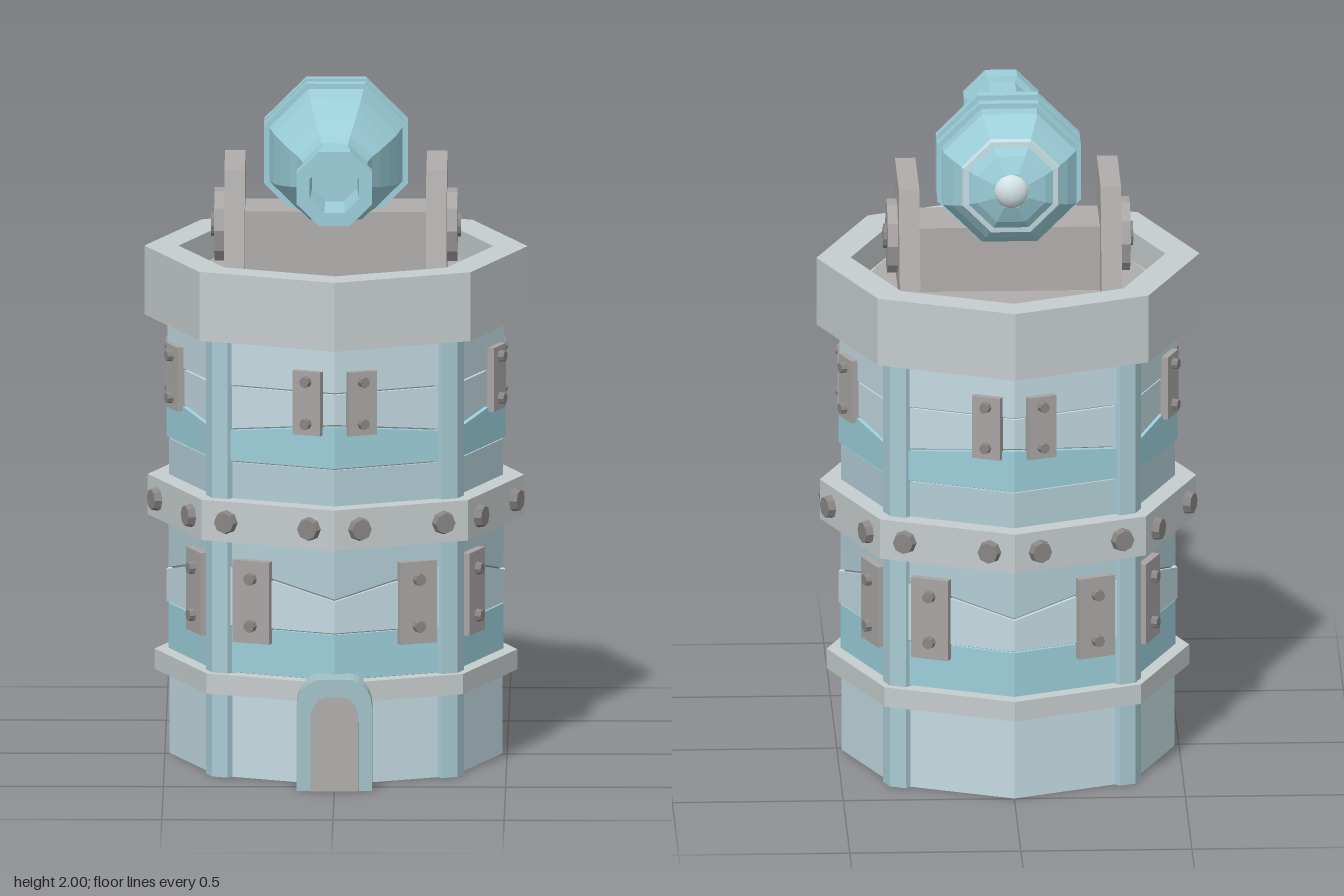
import * as THREE from 'three';

const CZ = -0.012; // tower axis
const C8 = Math.cos(Math.PI / 8);
const mat = (color, side = THREE.FrontSide) => new THREE.MeshStandardMaterial({ color, flatShading: true, side });
const PALE = mat(0xc3dbe1), MID = mat(0xb2ced5), CYAN = mat(0x9ccfda), TRIM = mat(0xc6cdce),
  STONE = mat(0xb0acac), METAL = mat(0xa9a5a5), DARK = mat(0x8a8686), FRAME = mat(0xa3c3c7), POST = mat(0xa9cbd4);

function add(parent, name, geo, material, x = 0, y = 0, z = 0) {
  const m = new THREE.Mesh(geo, material);
  m.name = name;
  m.position.set(x, y, z);
  parent.add(m);
  return m;
}

const lathe = (pts, sides, start = 0) =>
  new THREE.LatheGeometry(pts.map(p => new THREE.Vector2(...p)), sides, start);
const extrude = (shape, depth) =>
  new THREE.ExtrudeGeometry(shape, { depth, bevelEnabled: false, curveSegments: 6 });
const poly = pts => new THREE.Shape(pts.map(p => new THREE.Vector2(...p)));

// Octagonal band; lo and hi are [height at axis corners, height at diagonal corners]
function band(r, lo, hi) {
  const g = new THREE.CylinderGeometry(r, r, 1, 8, 1);
  const p = g.attributes.position;
  for (let i = 0; i < p.count; i++) {
    const x = Math.abs(p.getX(i)), z = Math.abs(p.getZ(i));
    const diag = Math.min(x, z) > 0.1 ? 1 : 0;
    p.setY(i, (p.getY(i) > 0 ? hi : lo)[diag]);
  }
  g.computeVertexNormals();
  return g;
}

// Bolt head facing +z
function bolt(parent, r, x, y, z) {
  const g = new THREE.CylinderGeometry(r * 0.85, r, 0.024, 8).rotateX(Math.PI / 2);
  add(parent, 'bolt', g, DARK, x, y, z);
}

function archShape(w, h, rise) {
  const s = new THREE.Shape();
  s.moveTo(-w, 0);
  s.lineTo(w, 0);
  s.lineTo(w, h - rise);
  s.bezierCurveTo(w, h - rise * 0.35, w * 0.6, h, w * 0.4, h);
  s.lineTo(-w * 0.4, h);
  s.bezierCurveTo(-w * 0.6, h, -w, h - rise * 0.35, -w, h - rise);
  return s;
}

function makeTower() {
  const tower = new THREE.Group();
  tower.name = 'tower';
  tower.position.z = CZ;

  // Base, core and the stacked wall planks
  add(tower, 'base', band(0.487, [0, 0], [0.25, 0.25]), PALE);
  add(tower, 'wallCore', band(0.478, [0.25, 0.25], [1.3, 1.3]), DARK);
  const levels = [[0.31, 0.31], [0.45, 0.45], [0.55, 0.64], [0.72, 0.72],
    [0.94, 0.94], [1.07, 1.03], [1.165, 1.165], [1.3, 1.3]];
  const looks = [[0.49, CYAN], [0.495, PALE], [0.49, MID], [0.488, MID], [0.495, CYAN], [0.489, PALE], [0.492, PALE]];
  looks.forEach(([r, m], i) => add(tower, 'wallBand',
    band(r, levels[i].map(y => y + 0.003), levels[i + 1].map(y => y - 0.003)), m));

  // Hoops
  add(tower, 'baseHoop', band(0.53, [0.25, 0.25], [0.31, 0.31]), TRIM);
  add(tower, 'middleHoop', band(0.55, [0.71, 0.71], [0.83, 0.83]), TRIM);

  // Parapet with sunken floor
  add(tower, 'parapet', lathe([[0, 1.305], [0.56, 1.305], [0.56, 1.51], [0.46, 1.51], [0.46, 1.42], [0, 1.42]], 8), TRIM);
  add(tower, 'floorDisc', new THREE.CylinderGeometry(0.41, 0.41, 0.02, 18), STONE, 0, 1.425);

  // Bent posts wrapping the diagonal corners
  const leg = 0.049, dx = leg * C8, dy = leg * Math.sin(Math.PI / 8), R = 0.507;
  // corner points along +y, arms falling away along both walls
  const post = extrude(poly([[0, R], [-dx, R - dy], [-dx, R - dy - 0.06], [dx, R - dy - 0.06], [dx, R - dy]]), 1.302);
  post.rotateX(-Math.PI / 2).rotateY(Math.PI);
  for (let i = 0; i < 4; i++) {
    add(tower, 'cornerPost', post, POST).rotation.y = Math.PI / 4 + i * Math.PI / 2;
  }

  // Plates and bolts on every wall
  for (let k = 0; k < 8; k++) {
    const face = new THREE.Group();
    face.name = 'wallFittings';
    face.rotation.y = (k + 0.5) * Math.PI / 4;
    tower.add(face);
    const side = k % 2 ? 1 : -1;
    const wall = 0.49 * C8;
    const upper = side * 0.107, lower = -side * 0.068;
    add(face, 'upperPlate', new THREE.BoxGeometry(0.088, 0.19, 0.04), METAL, upper, 1.135, wall + 0.002);
    add(face, 'lowerPlate', new THREE.BoxGeometry(0.115, 0.245, 0.04), METAL, lower, 0.53, wall + 0.004);
    for (const y of [1.075, 1.2]) bolt(face, 0.018, upper, y, wall + 0.028);
    for (const y of [0.46, 0.6]) bolt(face, 0.02, lower, y, wall + 0.03);
    for (const s of [-1, 1]) bolt(face, 0.036, s * 0.132, 0.77, 0.55 * C8 + 0.01);
  }
  return tower;
}

function makeDoor() {
  const door = new THREE.Group();
  door.name = 'door';
  add(door, 'doorFrame', extrude(archShape(0.11, 0.33, 0.08), 0.14), FRAME, 0, 0, 0.42);
  add(door, 'doorPanel', extrude(archShape(0.07, 0.28, 0.075), 0.03), STONE, 0, 0, 0.542);
  return door;
}

function makeMount() {
  const mount = new THREE.Group();
  mount.name = 'cannonMount';
  mount.position.z = CZ;
  add(mount, 'crossBlock', new THREE.BoxGeometry(0.54, 0.21, 0.2), STONE, 0, 1.525, -0.005);
  // Trapezoid cheeks with round hubs
  const cheek = extrude(poly([[-0.247, 1.42], [0.247, 1.42], [0.15, 1.765], [-0.15, 1.765]]), 0.06);
  cheek.translate(0, 0, -0.03).rotateY(Math.PI / 2);
  for (const s of [-1, 1]) {
    add(mount, 'cheek', cheek, STONE, s * 0.295, 0, 0);
    const disc = (r, w) => new THREE.CylinderGeometry(r, r, w, 10).rotateZ(Math.PI / 2);
    add(mount, 'hub', disc(0.108, 0.04), METAL, s * 0.335, 1.575, 0);
    add(mount, 'hubPin', disc(0.036, 0.04), DARK, s * 0.345, 1.575, 0);
  }
  return mount;
}

function makeCannon() {
  const cannon = new THREE.Group();
  cannon.name = 'cannon';
  cannon.position.y = 1.79;
  // Profiles are [flat-to-centre radius, z]
  const oct = (name, pts, m) => add(cannon, name,
    lathe(pts.map(([r, z]) => [r / C8, z]), 8, Math.PI / 8).rotateX(Math.PI / 2), m);
  oct('barrel', [[0, -0.275], [0.05, -0.272], [0.1, -0.25], [0.135, -0.222], [0.168, -0.185], [0.195, -0.14],
    [0.195, 0.02], [0.18, 0.1], [0.158, 0.17], [0.132, 0.24], [0.108, 0.29], [0.095, 0.34], [0.093, 0.48],
    [0.11, 0.485], [0.11, 0.548], [0.072, 0.548], [0.066, 0.4], [0, 0.4]], CYAN);
  for (const z of [-0.07, 0.01]) {
    oct('barrelBand', [[0.19, z - 0.016], [0.21, z - 0.016], [0.21, z + 0.016], [0.19, z + 0.016]], CYAN);
  }
  oct('breechRing', [[0.12, -0.232], [0.138, -0.23], [0.144, -0.218], [0.138, -0.208], [0.12, -0.206]], PALE);
  // Rounded knob behind the breech
  const knob = add(cannon, 'breechKnob', new THREE.SphereGeometry(0.052, 16, 10),
    new THREE.MeshStandardMaterial({ color: 0xd3e2e5 }), 0, 0, -0.264);
  knob.scale.z = 0.75;
  return cannon;
}

export function createModel() {
  const model = new THREE.Group();
  model.name = 'cannonTower';
  model.add(makeTower(), makeDoor(), makeMount(), makeCannon());
  return model;
}
